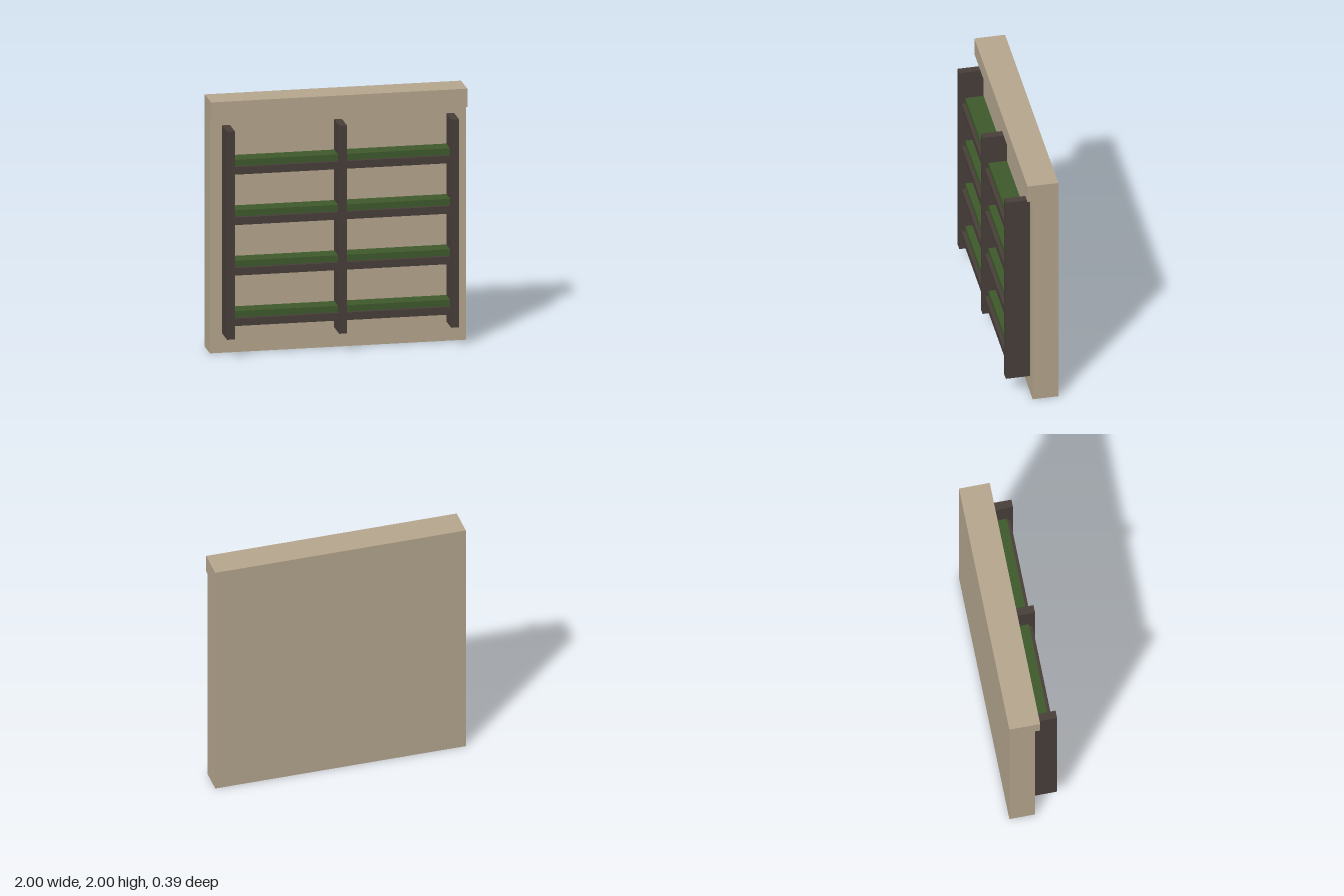
import * as THREE from 'three';

export function createModel() {
  const stone = new THREE.MeshStandardMaterial({ color: 0xb8a890 });
  stone.name = 'sandstone';
  const timber = new THREE.MeshStandardMaterial({ color: 0x4a403a });
  timber.name = 'dark timber';
  const leaf = new THREE.MeshStandardMaterial({ color: 0x3f5a2c });
  leaf.name = 'planting green';

  const group = new THREE.Group();
  group.name = 'planterWall';

  // Box given by its limits on each axis
  function box(name, material, [x0, x1], [y0, y1], [z0, z1]) {
    const mesh = new THREE.Mesh(new THREE.BoxGeometry(x1 - x0, y1 - y0, z1 - z0), material);
    mesh.position.set((x0 + x1) / 2, (y0 + y1) / 2, (z0 + z1) / 2);
    mesh.name = name;
    group.add(mesh);
  }

  // Wall with an overhanging coping along the top front
  const wallFront = 0.005;
  const profile = new THREE.Shape([
    [0.195, 0], [0.195, 2], [-0.045, 2], [-0.045, 1.855], [-wallFront, 1.855], [-wallFront, 0],
  ].map(([x, y]) => new THREE.Vector2(x, y)));
  const wallGeometry = new THREE.ExtrudeGeometry(profile, { depth: 2, bevelEnabled: false });
  wallGeometry.translate(0, 0, -1).rotateY(Math.PI / 2); // profile x becomes -z
  const wall = new THREE.Mesh(wallGeometry, stone);
  wall.name = 'wall';
  group.add(wall);

  // Upright posts
  const postX = [-0.875, 0, 0.875];
  const half = 0.03;
  for (const x of postX) {
    box('post', timber, [x - half, x + half], [0.153, 1.803], [wallFront, 0.195]);
  }

  // Shelves with planting, one per bay and level
  for (let level = 0; level < 4; level++) {
    const y = 0.253 + level * 0.4;
    for (let bay = 0; bay < 2; bay++) {
      const span = [postX[bay] + half, postX[bay + 1] - half];
      box('shelf', timber, span, [y, y + 0.06], [wallFront, 0.175]);
      box('planting', leaf, span, [y + 0.06, y + 0.11], [wallFront, 0.148]);
    }
  }
  return group;
}
